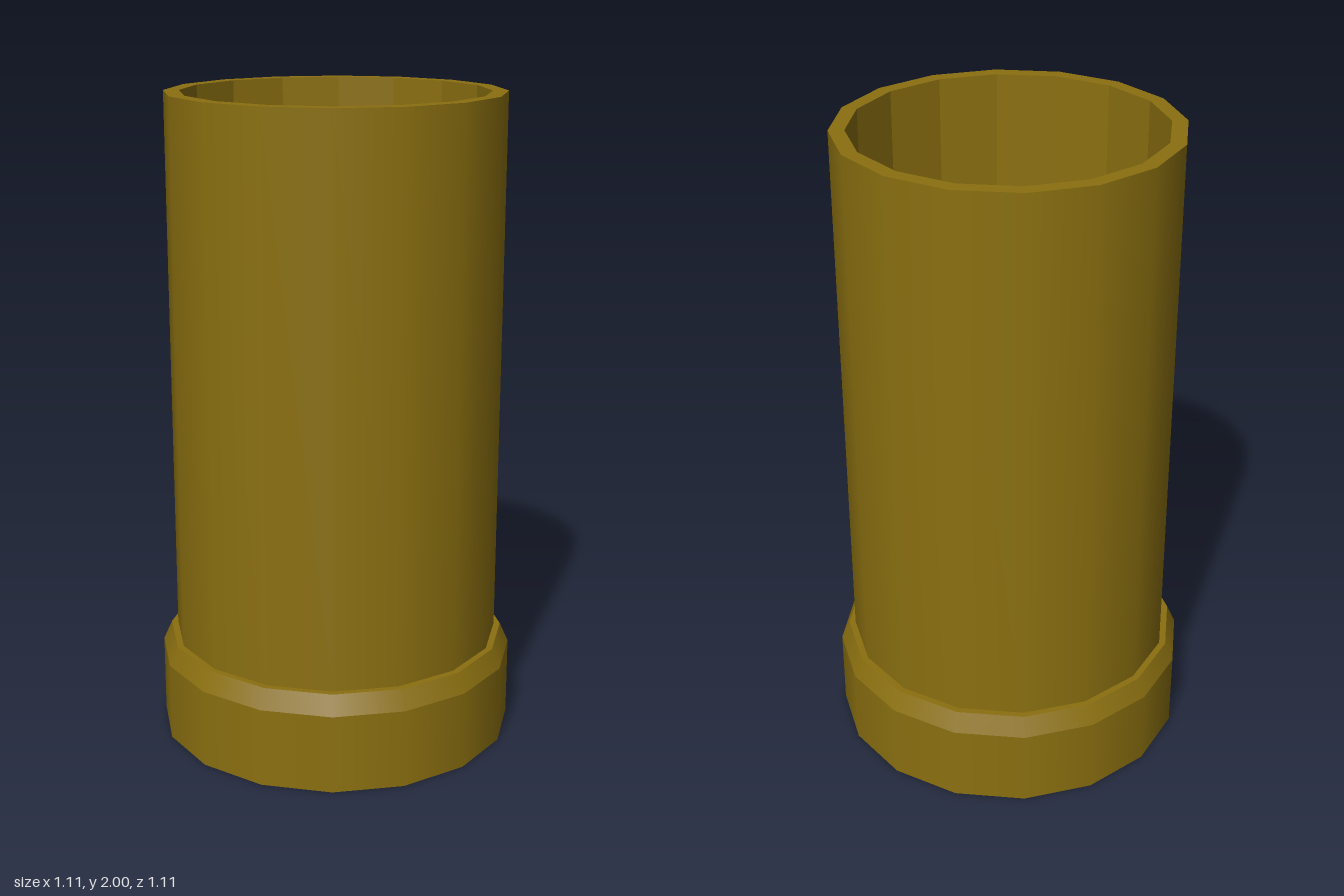
import * as THREE from 'three';

const SIDES = 16;
const COLOR = 0x8b7010;

// Turns each profile step separately, so edges between the bands stay sharp
function addBands(parent, name, profile, flatShading = false) {
  const part = new THREE.Group();
  part.name = name;
  const material = new THREE.MeshStandardMaterial({ color: COLOR, flatShading });
  for (let i = 0; i < profile.length - 1; i++) {
    const points = [profile[i], profile[i + 1]].map(([r, y]) => new THREE.Vector2(r, y));
    const band = new THREE.Mesh(new THREE.LatheGeometry(points, SIDES), material);
    band.name = `${name}Band${i + 1}`;
    part.add(band);
  }
  parent.add(part);
}

export function createModel() {
  const model = new THREE.Group();
  model.name = 'hollowCasing';

  // Underside with a shallow round recess in the middle
  addBands(model, 'baseRecess', [[0, 0.05], [0.125, 0.05], [0.125, 0]]);
  addBands(model, 'underside', [[0.125, 0], [0.557, 0]]);

  // Wide foot with a bevelled shoulder
  addBands(model, 'footRim', [[0.557, 0], [0.557, 0.245], [0.53, 0.305], [0.51, 0.305]]);

  // Straight tube and its open lip
  addBands(model, 'tubeWall', [[0.51, 0.305], [0.51, 2], [0.463, 2]]);

  // Faceted bore and inner floor
  addBands(model, 'bore', [[0.463, 2], [0.463, 0.1], [0, 0.1]], true);

  return model;
}
